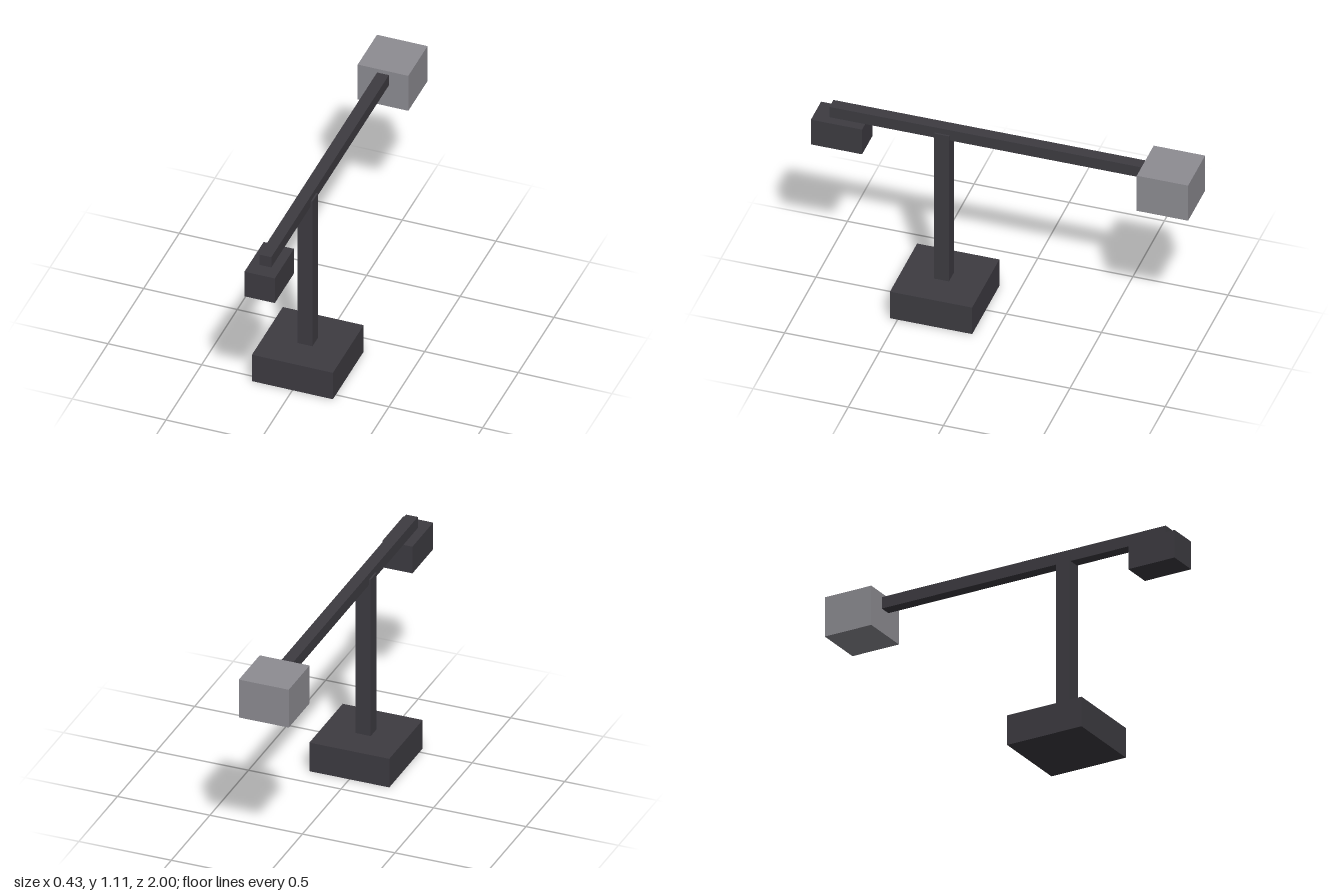
import * as THREE from 'three';

const charcoal = new THREE.MeshStandardMaterial({ name: 'charcoal', color: 0x3d3b41 });
const grey = new THREE.MeshStandardMaterial({ name: 'grey', color: 0x8d8c92 });

// Box centred on x = 0, given its width and its y and z ranges
function block(name, material, width, [y0, y1], [z0, z1]) {
  const mesh = new THREE.Mesh(new THREE.BoxGeometry(width, y1 - y0, z1 - z0), material);
  mesh.name = name;
  mesh.position.set(0, (y0 + y1) / 2, (z0 + z1) / 2);
  return mesh;
}

export function createModel() {
  const model = new THREE.Group();
  model.name = 'boomStand';
  model.add(
    // Stand
    block('base', charcoal, 0.432, [0, 0.163], [0.108, 0.54]),
    block('post', charcoal, 0.081, [0.163, 1.056], [0.288, 0.366]),
    // Boom with its counterweight at the front and the head at the back
    block('boom', charcoal, 0.063, [1.025, 1.088], [-0.8, 0.919]),
    block('counterweight', charcoal, 0.162, [0.873, 1.025], [0.731, 1]),
    block('head', grey, 0.27, [0.894, 1.11], [-1, -0.73]),
  );
  return model;
}
